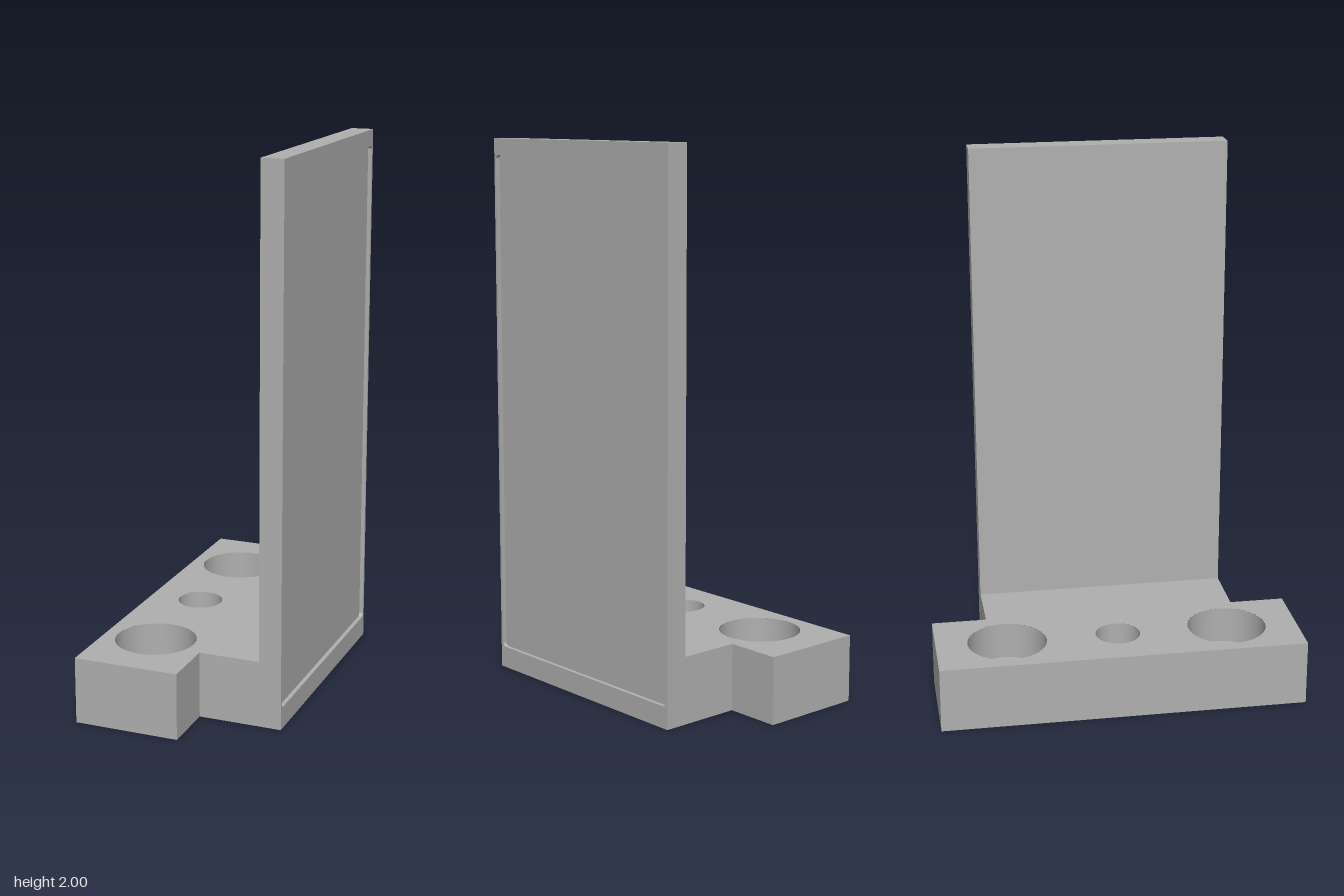
import * as THREE from 'three';
import { mergeGeometries } from 'three/addons/utils/BufferGeometryUtils.js';

const H = 0.245;                               // base height
const BACK = -0.348, STEP = 0.04, WALL = 0.265, OUT = 0.348;
const WIDE = 0.68, NARROW = 0.475;             // half depths
const HOLE_X = -0.155, HOLE_GAP = 0.415, SMALL = 0.083, BIG = 0.147;
const BORE = 0.14, RECESS = 0.015;

const X = new THREE.Vector3(1, 0, 0), Y = new THREE.Vector3(0, 1, 0), Z = new THREE.Vector3(0, 0, 1);
const neg = (v) => v.clone().negate();

// Placement of a 2D drawing: u is right, v is up, offset lies along the normal
function placed(u, v, offset) {
  const n = u.clone().cross(v);
  return new THREE.Matrix4().makeBasis(u, v, n).setPosition(n.clone().multiplyScalar(offset));
}

const outline = (points) => new THREE.Shape(points.map(([a, b]) => new THREE.Vector2(a, b)));
const face = (shape, u, v, offset) => new THREE.ShapeGeometry(shape, 48).applyMatrix4(placed(u, v, offset));

// Ribbon of side faces along a path; anticlockwise paths face outward
function strip(points, depth, matrix) {
  const pos = [];
  for (let i = 0; i + 1 < points.length; i++) {
    const [a, b] = points[i], [c, d] = points[i + 1];
    pos.push(a, b, 0, c, d, 0, c, d, depth, a, b, 0, c, d, depth, a, b, depth);
  }
  const g = new THREE.BufferGeometry();
  g.setAttribute('position', new THREE.Float32BufferAttribute(pos, 3));
  g.computeVertexNormals();
  return g.applyMatrix4(matrix);
}

// Stepped hole, given from the top down; each step keeps its own normals
function bore(profile) {
  const parts = [];
  for (let i = 0; i + 1 < profile.length; i++) {
    const pair = [profile[i], profile[i + 1]].map(([r, y]) => new THREE.Vector2(r, y));
    parts.push(new THREE.LatheGeometry(pair, 48));
  }
  return mergeGeometries(parts);
}

function withHoles(shape, radii) {
  radii.forEach((r, i) => {
    const hole = new THREE.Path();
    hole.absarc(HOLE_X, (i - 1) * HOLE_GAP, r, 0, Math.PI * 2, true);
    shape.holes.push(hole);
  });
  return shape;
}

function roundedRect(target, x0, y0, x1, y1, r) {
  target.moveTo(x0 + r, y0);
  target.lineTo(x1 - r, y0);
  target.absarc(x1 - r, y0 + r, r, -Math.PI / 2, 0, false);
  target.lineTo(x1, y1 - r);
  target.absarc(x1 - r, y1 - r, r, 0, Math.PI / 2, false);
  target.lineTo(x0 + r, y1);
  target.absarc(x0 + r, y1 - r, r, Math.PI / 2, Math.PI, false);
  target.lineTo(x0, y0 + r);
  target.absarc(x0 + r, y0 + r, r, Math.PI, Math.PI * 1.5, false);
  return target;
}

export function createModel() {
  const model = new THREE.Group();
  model.name = 'mountingBracket';
  const grey = new THREE.MeshStandardMaterial({ color: 0xb0b0b0 });
  grey.name = 'plain grey';
  const add = (name, geometry, parent = model) => {
    const mesh = new THREE.Mesh(geometry, grey);
    mesh.name = name;
    parent.add(mesh);
    return mesh;
  };

  // T-shaped base with three screw holes
  const base = new THREE.Group();
  base.name = 'base';
  model.add(base);
  const plan = (end) => outline([
    [BACK, -WIDE], [STEP, -WIDE], [STEP, -NARROW], [end, -NARROW],
    [end, NARROW], [STEP, NARROW], [STEP, WIDE], [BACK, WIDE],
  ]);
  add('baseTop', face(withHoles(plan(WALL), [BIG, SMALL, BIG]), X, neg(Z), H), base);
  add('baseUnderside', face(withHoles(plan(OUT), [SMALL, BIG, SMALL]), X, Z, 0), base);
  add('baseSides', strip([
    [STEP, NARROW], [STEP, WIDE], [BACK, WIDE], [BACK, -WIDE], [STEP, -WIDE], [STEP, -NARROW],
  ], H, placed(X, neg(Z), 0)), base);

  // Outer holes are counterbored from above, the middle one from below
  const ledge = H - BORE;
  for (const i of [-1, 0, 1]) {
    const profile = i === 0
      ? [[SMALL, H], [SMALL, BORE], [BIG, BORE], [BIG, 0]]
      : [[BIG, H], [BIG, ledge], [SMALL, ledge], [SMALL, 0]];
    add('screwHole', bore(profile), base).position.set(HOLE_X, 0, i * HOLE_GAP);
  }

  // Upright plate, whose ends run down into the base as an L
  const plate = new THREE.Group();
  plate.name = 'uprightPlate';
  model.add(plate);
  const ell = [[STEP, 0], [OUT, 0], [OUT, 2], [WALL, 2], [WALL, H], [STEP, H]];
  add('plateFrontEnd', face(outline(ell), X, Y, NARROW), plate);
  add('plateBackEnd', face(outline(ell.map(([x, y]) => [-x, y]).reverse()), neg(X), Y, NARROW), plate);
  const box = (a0, b0, a1, b1) => outline([[a0, b0], [a1, b0], [a1, b1], [a0, b1]]);
  add('plateInnerFace', face(box(-NARROW, H, NARROW, 2), Z, Y, -WALL), plate);
  add('plateTop', face(box(WALL, -NARROW, OUT, NARROW), X, neg(Z), 2), plate);

  // Outer face with a shallow rounded recess
  const pocket = [-0.465, 0.08, 0.465, 1.94, 0.015];
  const rim = box(-NARROW, 0, NARROW, 2);
  rim.holes.push(roundedRect(new THREE.Path(), ...pocket));
  add('plateRim', face(rim, neg(Z), Y, OUT), plate);
  const floor = roundedRect(new THREE.Shape(), ...pocket);
  add('recessFloor', face(floor, neg(Z), Y, OUT - RECESS), plate);
  const edge = floor.getPoints(48).map((p) => [p.x, p.y]).reverse();
  add('recessEdge', strip(edge, RECESS, placed(neg(Z), Y, OUT - RECESS)), plate);

  return model;
}
